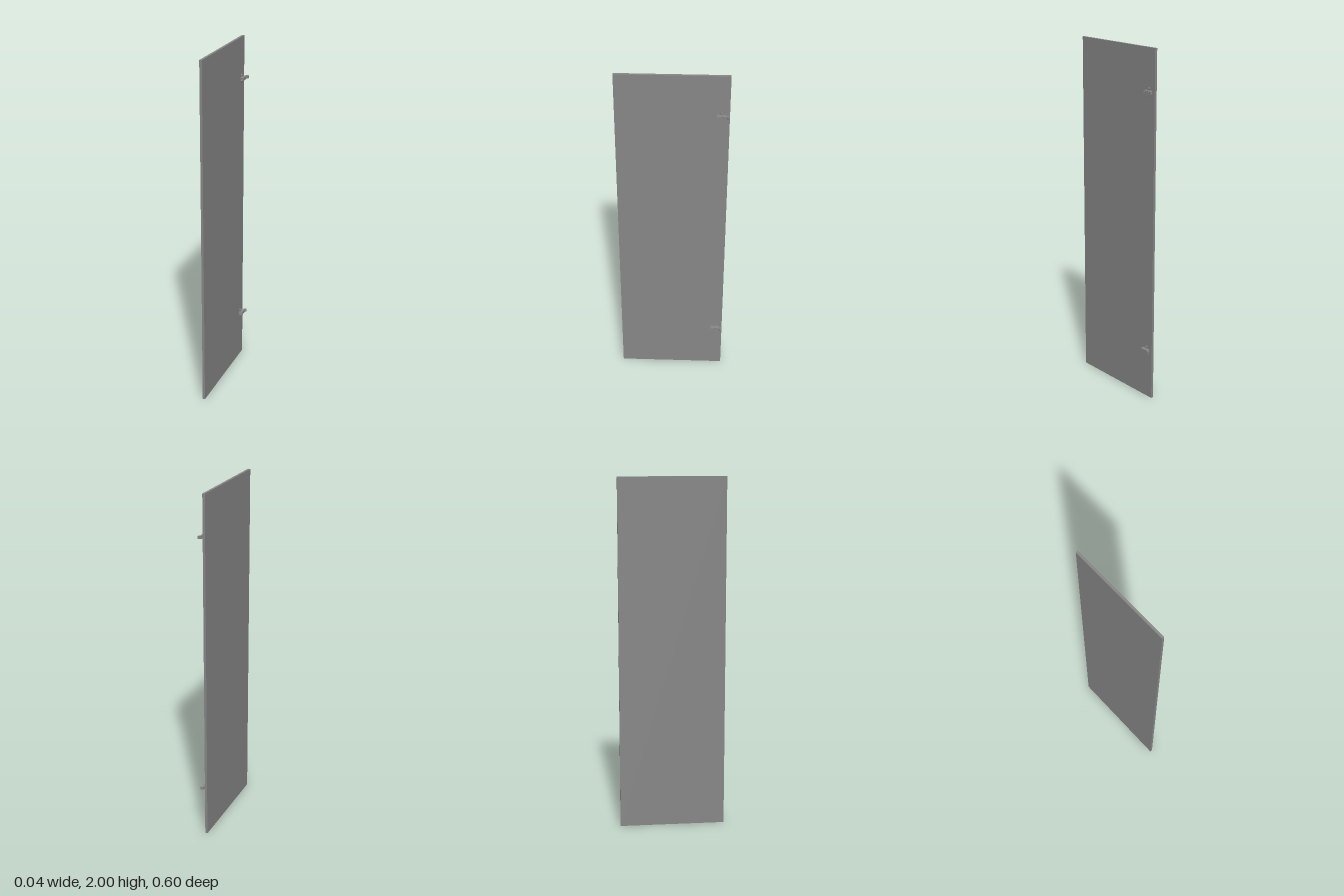
import * as THREE from 'three';

const darkGrey = new THREE.MeshStandardMaterial({ color: 0x888888 });

function add(group, geometry, name, x = 0, y = 0, z = 0) {
  const mesh = new THREE.Mesh(geometry, darkGrey);
  mesh.name = name;
  mesh.position.set(x, y, z);
  group.add(mesh);
  return mesh;
}

// Extrudes an outline of [x, z] points upwards, centred on y = 0
function slab(points, height) {
  const shape = new THREE.Shape(points.map(([x, z]) => new THREE.Vector2(x, -z)));
  const geometry = new THREE.ExtrudeGeometry(shape, { depth: height, bevelEnabled: false });
  return geometry.translate(0, 0, -height / 2).rotateX(-Math.PI / 2);
}

// Round part with its axis along x
function disc(radius, thickness) {
  return new THREE.CylinderGeometry(radius, radius, thickness, 20).rotateZ(Math.PI / 2);
}

// Hinge origin: on the door face, at the middle of the mounting plate
function createHinge() {
  const hinge = new THREE.Group();
  hinge.name = 'hinge';

  // Cross-shaped mounting plate with rounded wings and screws
  add(hinge, new THREE.BoxGeometry(0.005, 0.014, 0.048), 'mountingPlate', 0.0025);
  add(hinge, new THREE.BoxGeometry(0.005, 0.034, 0.013), 'mountingWings', 0.0025);
  for (const side of [-1, 1]) {
    add(hinge, disc(0.008, 0.005), 'wingEnd', 0.0025, side * 0.0165);
    add(hinge, disc(0.005, 0.003), 'wingScrew', 0.0055, side * 0.0165);
  }

  // Hollow arm: two side walls joined by an outer web
  const wall = [[0, 0.024], [0.021, 0.024], [0.022, 0.018], [0.022, -0.018],
    [0.019, -0.025], [0, -0.025]];
  for (const side of [-1, 1]) {
    add(hinge, slab(wall, 0.002), 'armSide', 0, side * 0.007);
  }
  add(hinge, new THREE.BoxGeometry(0.003, 0.014, 0.042), 'armWeb', 0.0203);

  // Cranked end reaching past the plate
  add(hinge, slab([[0.008, -0.023], [0.0135, -0.038], [0.017, -0.041], [0.029, -0.041],
    [0.029, -0.035], [0.024, -0.031], [0.021, -0.023]], 0.016), 'crankedArm');

  // Adjusting screws on the arm
  for (const z of [-0.02, 0.014]) {
    add(hinge, disc(0.004, 0.003), 'adjustingScrew', 0.0235, 0, z);
  }
  return hinge;
}

export function createModel() {
  const model = new THREE.Group();
  model.name = 'cabinetDoor';
  add(model, new THREE.BoxGeometry(0.014, 2, 0.604), 'doorPanel', -0.015, 1, 0);
  for (const y of [0.29, 1.768]) {
    const hinge = createHinge();
    hinge.position.set(-0.008, y, -0.258);
    model.add(hinge);
  }
  return model;
}
